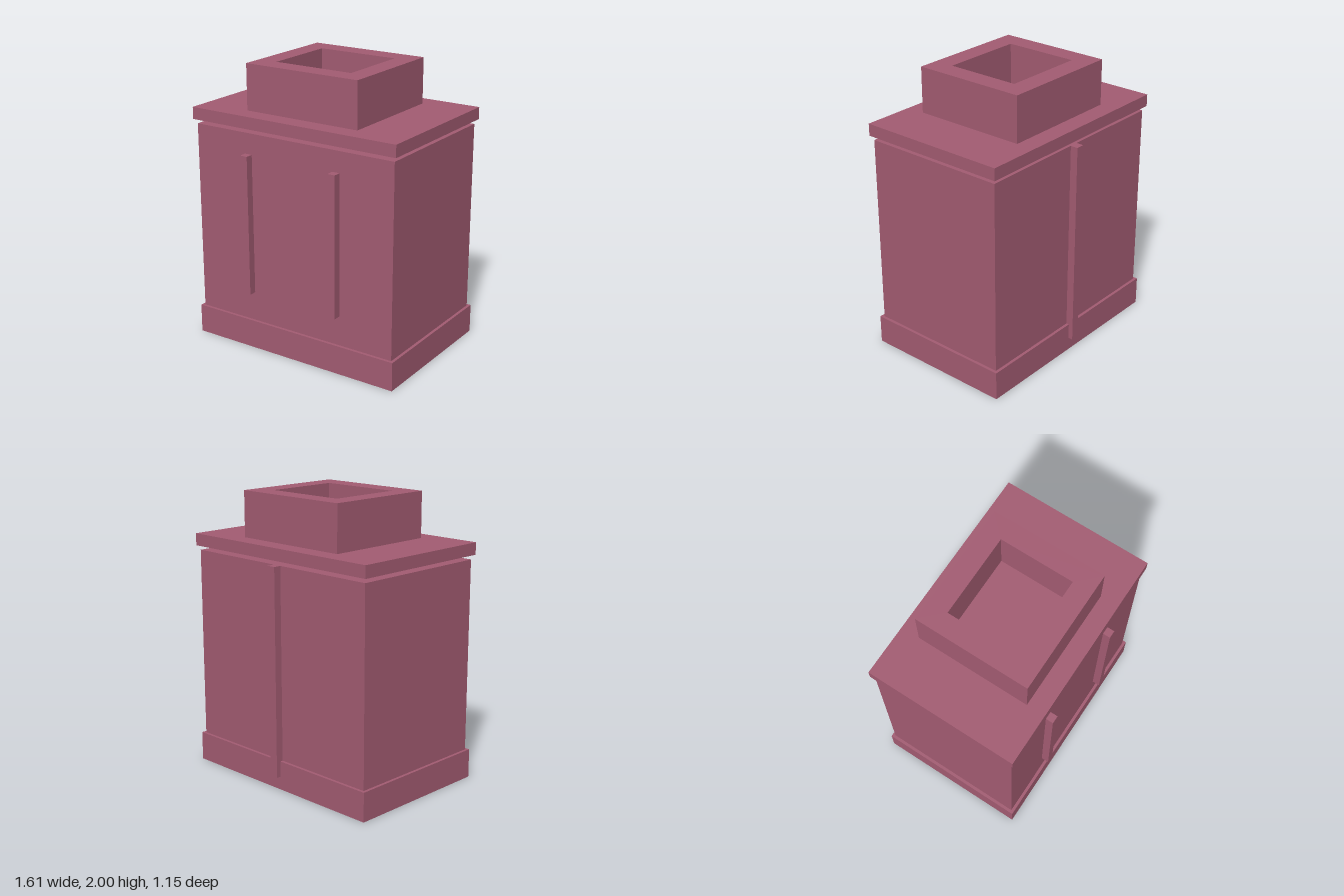
import * as THREE from 'three';

export function createModel() {
  const model = new THREE.Group();
  const rose = new THREE.MeshStandardMaterial({ color: 0xa35c72 });
  rose.name = 'dusty rose';

  const add = (name, geometry, x, y, z) => {
    const mesh = new THREE.Mesh(geometry, rose);
    mesh.name = name;
    mesh.position.set(x, y, z);
    model.add(mesh);
  };

  // Box given by its centre in x and z and its bottom and top heights
  const box = (name, width, depth, bottom, top, x = 0, z = 0) =>
    add(name, new THREE.BoxGeometry(width, top - bottom, depth), x, (bottom + top) / 2, z);

  const rectangle = (path, w, d) => path
    .moveTo(-w / 2, -d / 2).lineTo(w / 2, -d / 2)
    .lineTo(w / 2, d / 2).lineTo(-w / 2, d / 2).closePath();

  // Plinth, main body and the lid hovering just above it
  box('plinth', 1.614, 1.086, 0, 0.205);
  box('body', 1.572, 1.044, 0.205, 1.56);
  box('lid', 1.614, 1.086, 1.592, 1.677);

  // Square hollow neck
  const outline = rectangle(new THREE.Shape(), 0.88, 0.82);
  outline.holes.push(rectangle(new THREE.Path(), 0.594, 0.532));
  const neck = new THREE.ExtrudeGeometry(outline, { depth: 0.323, bevelEnabled: false });
  neck.rotateX(-Math.PI / 2);
  add('neck', neck, 0, 1.677, 0);

  // Two raised ribs on the front
  for (const side of [-1, 1]) {
    box(side > 0 ? 'frontRibLeft' : 'frontRibRight', 0.056, 0.056, 0.416, 1.413, side * 0.352, 0.548);
  }

  // Long rib down the middle of the back
  box('backRib', 0.062, 0.056, 0.094, 1.56, 0, -0.548);

  return model;
}
